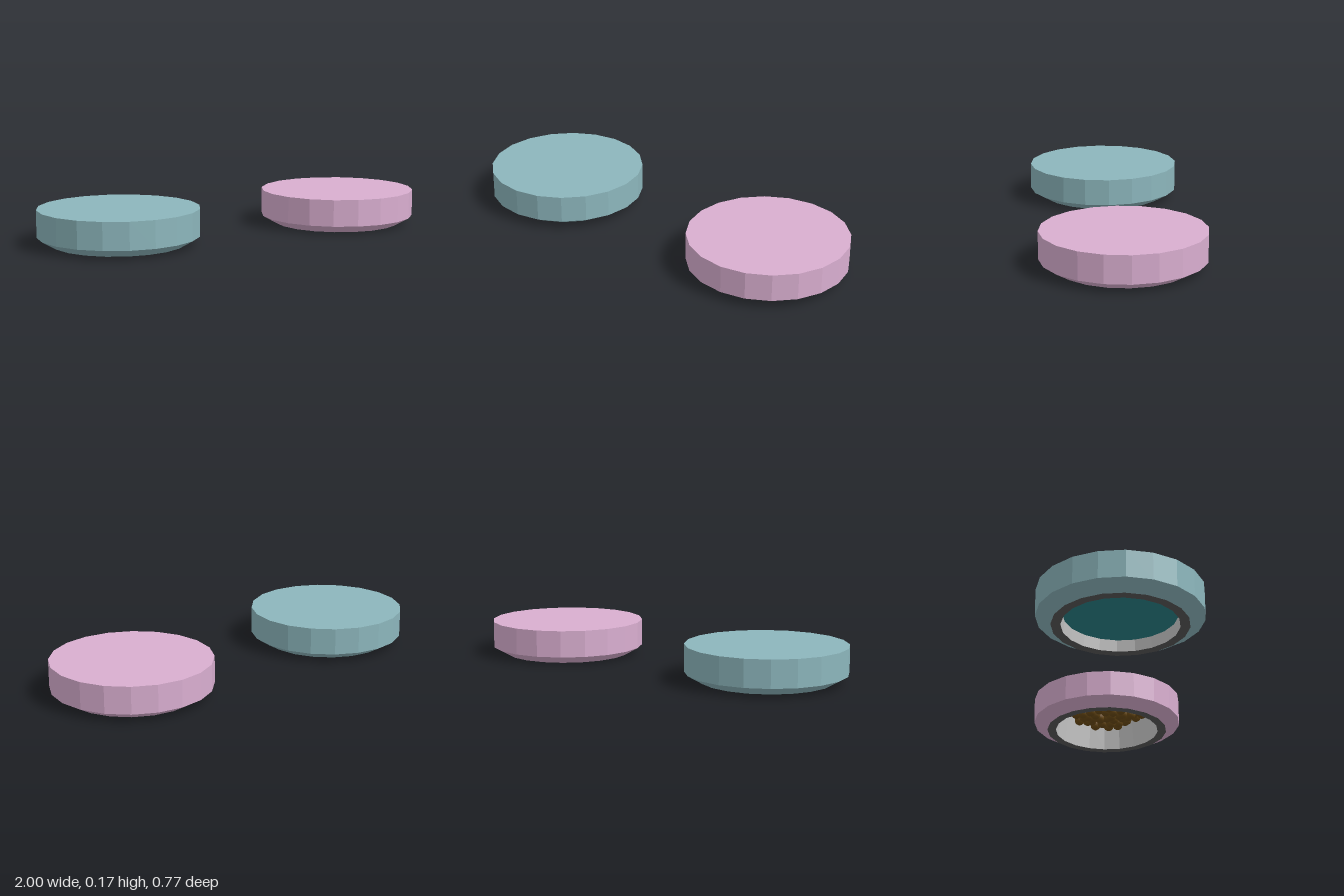
import * as THREE from 'three';

const SIDES = 20;

function material(color) {
  return new THREE.MeshStandardMaterial({ color, flatShading: true, side: THREE.DoubleSide });
}

// Revolved part from [radius, height] pairs
function lathe(name, profile, color) {
  const points = profile.map(([r, y]) => new THREE.Vector2(r, y));
  const mesh = new THREE.Mesh(new THREE.LatheGeometry(points, SIDES), material(color));
  mesh.name = name;
  return mesh;
}

// Upturned dish: coloured shell, dark foot ring and grey inner bowl
function createDish(name, shellColor) {
  const dish = new THREE.Group();
  dish.name = name;
  dish.add(
    lathe('shell', [[0.315, 0], [0.385, 0.04], [0.385, 0.171], [0, 0.171]], shellColor),
    lathe('rimRing', [[0.27, 0], [0.315, 0]], 0x5a5a5a),
    lathe('innerBowl', [[0, 0.145], [0.25, 0.145], [0.27, 0]], 0xcccccc),
  );
  return dish;
}

// Heap of small balls hanging from the bowl floor
function createPellets() {
  const pellets = new THREE.Group();
  pellets.name = 'pellets';
  const geometry = new THREE.SphereGeometry(0.027, 10, 8);
  const brown = new THREE.MeshStandardMaterial({ color: 0x6b4a14 });
  const layers = [{ count: 58, radius: 0.195, y: 0.112 }, { count: 30, radius: 0.14, y: 0.082 }];
  for (const { count, radius, y } of layers) {
    for (let i = 0; i < count; i++) {
      const r = radius * Math.sqrt((i + 0.5) / count);
      const a = i * 2.39996;
      const ball = new THREE.Mesh(geometry, brown);
      ball.name = 'pellet';
      ball.position.set(r * Math.cos(a), y + 0.008 * Math.sin(i * 5.3), r * Math.sin(a));
      pellets.add(ball);
    }
  }
  return pellets;
}

export function createModel() {
  const model = new THREE.Group();
  model.name = 'dishes';

  const foodDish = createDish('foodDish', 0xd9aed0);
  foodDish.position.x = 0.615;
  foodDish.add(createPellets());

  const waterDish = createDish('waterDish', 0x8cb6bc);
  waterDish.position.set(-0.615, 0.004, 0);
  // Water surface, facing down into the opening
  waterDish.add(lathe('water', [[0, 0.055], [0.264, 0.055]], 0x2a8488));

  model.add(foodDish, waterDish);
  return model;
}
